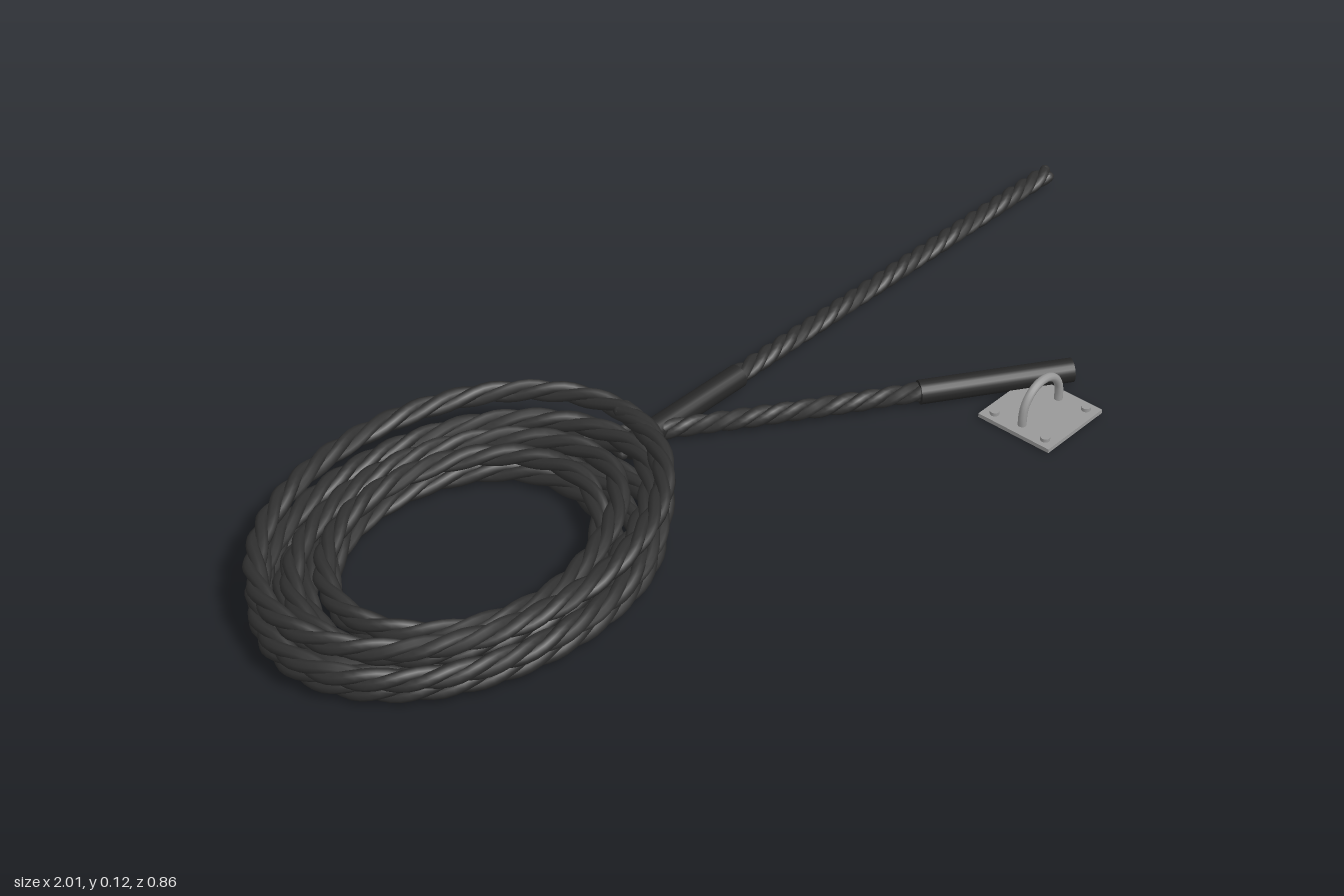
import * as THREE from 'three';

const ropeMat = new THREE.MeshStandardMaterial({ color: 0x303030 });
ropeMat.name = 'rope charcoal';
const gripMat = new THREE.MeshStandardMaterial({ color: 0x262626 });
gripMat.name = 'grip black';
const metalMat = new THREE.MeshStandardMaterial({ color: 0x999999 });
metalMat.name = 'steel grey';

// Elliptical coil: each entry is one turn [spread 0 inner .. 1 outer, height, centre shift]
const TURNS = [
  [1, 0.028, 0.004], [0.67, 0.028, 0], [0.33, 0.028, 0], [0, 0.028, 0],
  [0.05, 0.066, -0.006], [0.5, 0.066, -0.008], [0.98, 0.066, -0.01],
  [1, 0.105, 0.011],
];
class CoilPath extends THREE.Curve {
  getPoint(t, target = new THREE.Vector3()) {
    const u = t * TURNS.length;
    const i = Math.min(Math.floor(u), TURNS.length - 1);
    const next = TURNS[Math.min(i + 1, TURNS.length - 1)];
    const k = THREE.MathUtils.smoothstep(u - i, 0.8, 1);
    const [s, y, d] = TURNS[i].map((v, j) => THREE.MathUtils.lerp(v, next[j], k));
    const a = u * Math.PI * 2;
    return target.set(
      -0.598 + d + Math.cos(a) * (0.245 + 0.135 * s), y,
      -0.11 - d - Math.sin(a) * (0.2 + 0.086 * s));
  }
}

// One strand winding around a central path
class Strand extends THREE.Curve {
  constructor(path, offset, turns, phase) {
    super();
    Object.assign(this, { path, offset, turns, phase });
  }
  getPoint(t, target = new THREE.Vector3()) {
    const tangent = this.path.getTangentAt(t);
    const side = new THREE.Vector3(-tangent.z, 0, tangent.x).normalize();
    const up = new THREE.Vector3().crossVectors(side, tangent);
    const a = this.phase + t * this.turns * Math.PI * 2;
    return target.copy(this.path.getPointAt(t))
      .addScaledVector(side, Math.cos(a) * this.offset)
      .addScaledVector(up, Math.sin(a) * this.offset);
  }
}

function makeRope(name, path, radius, pitch, step) {
  const group = new THREE.Group();
  group.name = name;
  path.arcLengthDivisions = 1600;
  const length = path.getLength();
  const segments = Math.ceil(length / step);
  for (let k = 0; k < 3; k++) {
    const strand = new Strand(path, radius * 0.47, length / pitch, k * Math.PI * 2 / 3);
    strand.arcLengthDivisions = segments * 2;
    const mesh = new THREE.Mesh(new THREE.TubeGeometry(strand, segments, radius * 0.55, 8), ropeMat);
    mesh.name = 'ropeStrand';
    group.add(mesh);
    // Rounded ends of the strand
    for (const t of [0, 1]) {
      const cap = new THREE.Mesh(new THREE.SphereGeometry(radius * 0.55, 8, 6), ropeMat);
      cap.name = 'strandEnd';
      cap.position.copy(strand.getPoint(t));
      group.add(cap);
    }
  }
  return group;
}

function makeGrip(name, from, to, radius) {
  const dir = to.clone().sub(from);
  const mesh = new THREE.Mesh(new THREE.CylinderGeometry(radius, radius, dir.length(), 20), gripMat);
  mesh.name = name;
  mesh.position.copy(from).add(to).multiplyScalar(0.5);
  mesh.quaternion.setFromUnitVectors(new THREE.Vector3(0, 1, 0), dir.normalize());
  return mesh;
}

function makeAnchor() {
  const group = new THREE.Group();
  group.name = 'floorAnchor';
  group.position.set(0.38, 0, 0.35);
  const plate = new THREE.Mesh(new THREE.BoxGeometry(0.158, 0.008, 0.158), metalMat);
  plate.name = 'anchorPlate';
  plate.position.y = 0.009;
  group.add(plate);

  // Staple: two legs joined by a half circle
  const points = [new THREE.Vector3(-0.053, 0.01, 0)];
  for (let i = 0; i <= 8; i++) {
    const a = Math.PI * (1 - i / 8);
    points.push(new THREE.Vector3(Math.cos(a) * 0.053, 0.03 + Math.sin(a) * 0.053, 0));
  }
  points.push(new THREE.Vector3(0.053, 0.01, 0));
  const loop = new THREE.Mesh(
    new THREE.TubeGeometry(new THREE.CatmullRomCurve3(points), 40, 0.008, 10), metalMat);
  loop.name = 'anchorLoop';
  group.add(loop);

  for (const x of [-1, 1]) for (const z of [-1, 1]) {
    const bolt = new THREE.Mesh(new THREE.CylinderGeometry(0.009, 0.009, 0.008, 12), metalMat);
    bolt.name = 'anchorBolt';
    bolt.position.set(x * 0.06, 0.016, z * 0.057);
    group.add(bolt);
  }
  return group;
}

export function createModel() {
  const model = new THREE.Group();
  model.name = 'trainingRope';
  const v = (x, y, z) => new THREE.Vector3(x, y, z);

  // Coiled length
  model.add(makeRope('coiledRope', new CoilPath(), 0.02, 0.2, 0.016));

  // Straight tail and its sleeve
  model.add(makeRope('straightTail', new THREE.LineCurve3(v(-0.2, 0.03, -0.112), v(0.995, 0.03, -0.112)), 0.019, 0.12, 0.01));
  model.add(makeGrip('straightSleeve', v(-0.21, 0.028, -0.112), v(0.08, 0.028, -0.112), 0.0225));

  // Angled tail ending in a grip
  const tail = new THREE.CatmullRomCurve3([
    v(-0.235, 0.028, -0.19), v(-0.19, 0.028, -0.15), v(-0.1, 0.027, -0.085), v(0.1, 0.026, 0.052), v(0.3, 0.026, 0.185),
  ]);
  model.add(makeRope('angledTail', tail, 0.019, 0.12, 0.01));
  model.add(makeGrip('endGrip', v(0.265, 0.0255, 0.162), v(0.505, 0.0255, 0.325), 0.0225));

  model.add(makeAnchor());
  return model;
}
